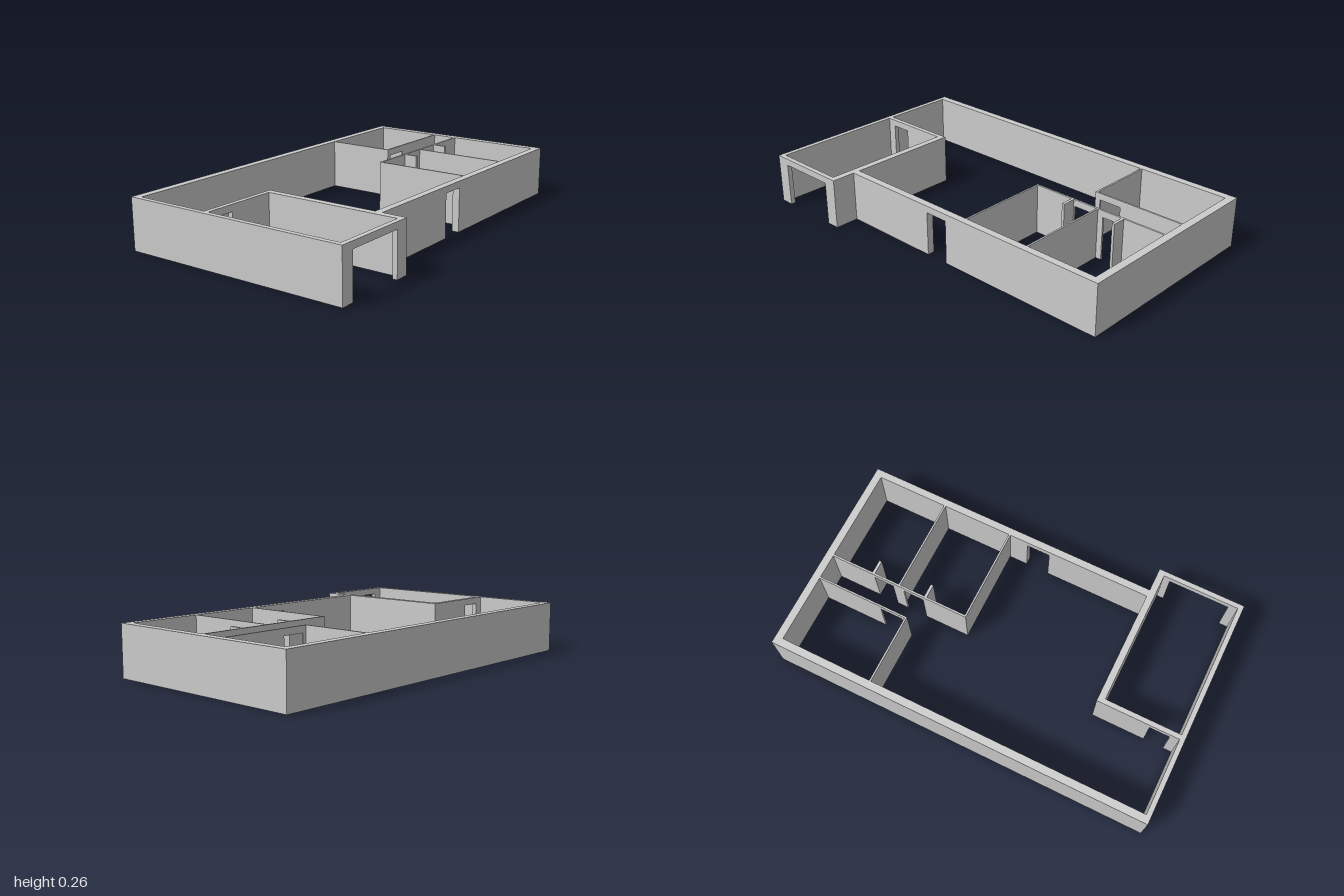
import * as THREE from 'three';

const H = 0.26;       // wall height
const DOOR_H = 0.225; // height of door openings

const material = new THREE.MeshStandardMaterial({ color: 0xcccccc, flatShading: true });

// Wall running along x, with optional door openings given as [x0, x1]
function wallX(name, x0, x1, z0, z1, doors = []) {
  const s = new THREE.Shape();
  s.moveTo(x0, 0);
  for (const [a, b] of doors) {
    s.lineTo(a, 0);
    s.lineTo(a, DOOR_H);
    s.lineTo(b, DOOR_H);
    s.lineTo(b, 0);
  }
  s.lineTo(x1, 0);
  s.lineTo(x1, H);
  s.lineTo(x0, H);
  const geometry = new THREE.ExtrudeGeometry(s, { depth: z1 - z0, bevelEnabled: false });
  geometry.translate(0, 0, z0);
  const mesh = new THREE.Mesh(geometry, material);
  mesh.name = name;
  return mesh;
}

// Plain wall running along z
function wallZ(name, x0, x1, z0, z1) {
  const mesh = new THREE.Mesh(new THREE.BoxGeometry(x1 - x0, H, z1 - z0), material);
  mesh.position.set((x0 + x1) / 2, H / 2, (z0 + z1) / 2);
  mesh.name = name;
  return mesh;
}

export function createModel() {
  const model = new THREE.Group();
  model.name = 'floorPlan';

  // Outer walls of the house
  const outer = new THREE.Group();
  outer.name = 'outerWalls';
  outer.add(
    wallX('backWall', -1, 1, -0.6, -0.56),
    wallZ('leftWall', 0.96, 1, -0.56, 0.47),
    wallZ('rightWall', -1, -0.975, -0.56, 0.597),
    wallX('frontWall', -0.545, 0.96, 0.433, 0.47, [[-0.01, 0.113]]),
  );

  // Garage projecting at the front corner
  const garage = new THREE.Group();
  garage.name = 'garage';
  garage.add(
    wallZ('garageSideWall', -0.58, -0.545, -0.167, 0.597),
    wallX('garageBackWall', -0.975, -0.58, -0.167, -0.142, [[-0.93, -0.825]]),
    wallX('garageFrontWall', -0.975, -0.58, 0.572, 0.597, [[-0.93, -0.615]]),
  );

  // Thin room partitions
  const rooms = new THREE.Group();
  rooms.name = 'partitions';
  rooms.add(
    wallZ('backRoomSide', 0.469, 0.478, -0.56, -0.202),
    wallX('backRoomFront', 0.469, 0.96, -0.202, -0.193, [[0.497, 0.617]]),
    wallX('corridorWall', 0.21, 0.96, -0.066, -0.056, [[0.45, 0.56], [0.62, 0.725]]),
    wallZ('frontRoomSide', 0.21, 0.219, -0.056, 0.433),
    wallZ('frontRoomDivider', 0.581, 0.59, -0.056, 0.433),
  );

  // Short return walls beside the corridor doors
  for (const x of [0.432, 0.725]) rooms.add(wallZ('doorReturn', x, x + 0.014, -0.056, 0.015));

  model.add(outer, garage, rooms);
  return model;
}
